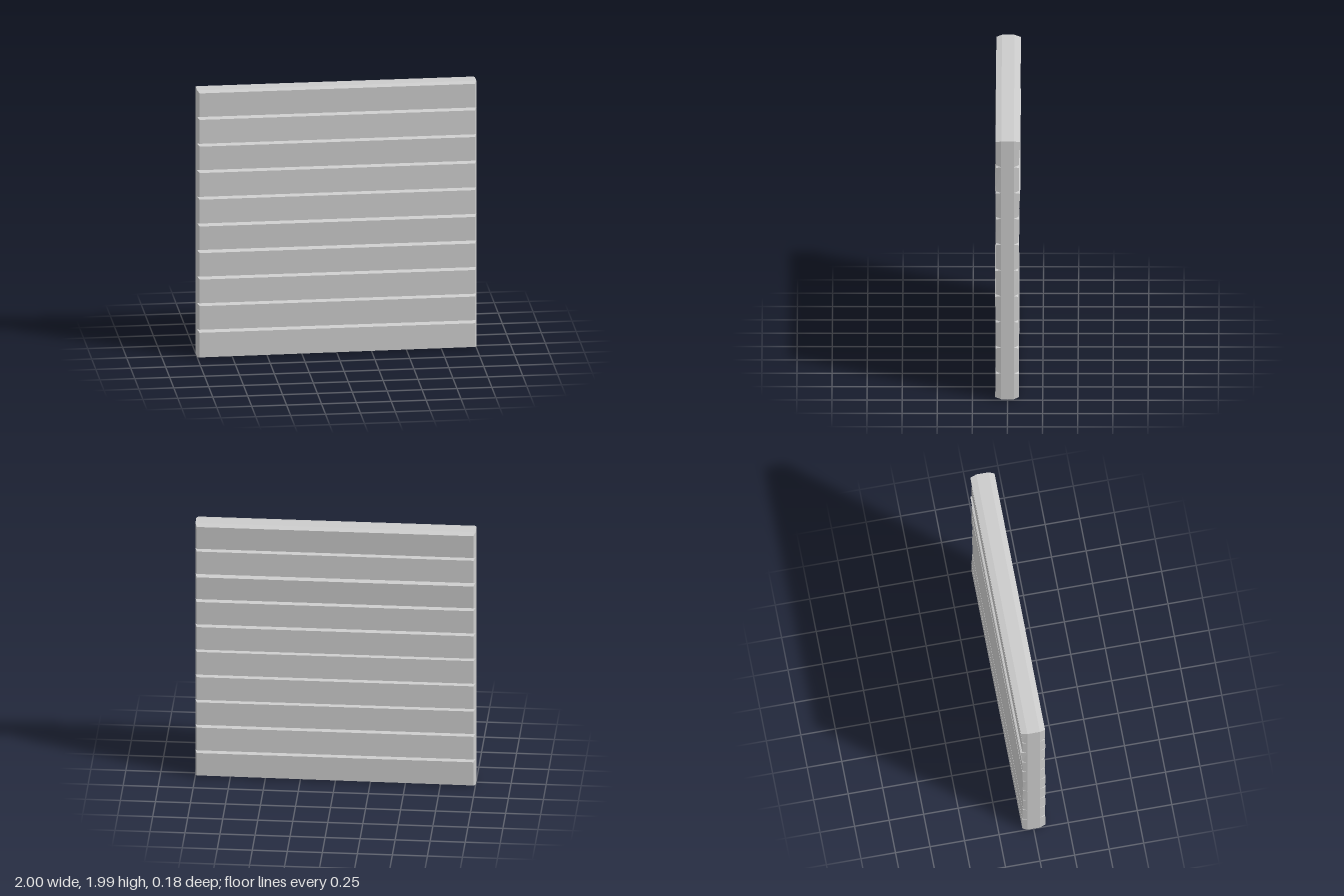
import * as THREE from 'three';

const BASE = 0.007, PITCH = 0.1983; // first plank bottom, plank spacing
const CORE = 0.045;                 // half depth of the unchamfered core
const BEVEL_Y = 0.011, BEVEL_X = 0.013;

// Hand-cut face offsets, bottom plank first: front top, front bottom, back top, back bottom
const FACES = [
  [0.086, 0.088, -0.081, -0.080],
  [0.085, 0.084, -0.076, -0.081],
  [0.086, 0.087, -0.075, -0.076],
  [0.089, 0.086, -0.075, -0.079],
  [0.089, 0.085, -0.074, -0.078],
  [0.083, 0.087, -0.080, -0.080],
  [0.082, 0.086, -0.081, -0.079],
  [0.086, 0.084, -0.090, -0.079],
  [0.083, 0.089, -0.080, -0.080],
  [0.085, 0.084, -0.090, -0.080],
];

// Plank: a box with three depth segments whose front and back rims are chamfered
function plankGeometry([frontTop, frontBottom, backTop, backBottom], sag) {
  const geo = new THREE.BoxGeometry(2, PITCH, 2, 1, 1, 3);
  const p = geo.attributes.position;
  for (let i = 0; i < p.count; i++) {
    let x = p.getX(i), y = p.getY(i), z = p.getZ(i);
    const top = y > 0;
    if (Math.abs(z) > 0.9) {
      x -= Math.sign(x) * BEVEL_X;
      y -= Math.sign(y) * BEVEL_Y;
      z = z > 0 ? (top ? frontTop : frontBottom) : (top ? backTop : backBottom);
    } else {
      z = Math.sign(z) * CORE;
    }
    if (!top && x < 0) y -= sag; // slightly low corner
    p.setXYZ(i, x, y, z);
  }
  geo.computeVertexNormals();
  return geo;
}

export function createModel() {
  const group = new THREE.Group();
  group.name = 'plankWall';
  const wood = new THREE.MeshStandardMaterial({ color: 0xcccccc, flatShading: true });
  FACES.forEach((face, i) => {
    const plank = new THREE.Mesh(plankGeometry(face, i === 0 ? BASE : 0), wood);
    plank.name = `plank${i + 1}`;
    plank.position.y = BASE + PITCH * (i + 0.5);
    group.add(plank);
  });
  return group;
}
